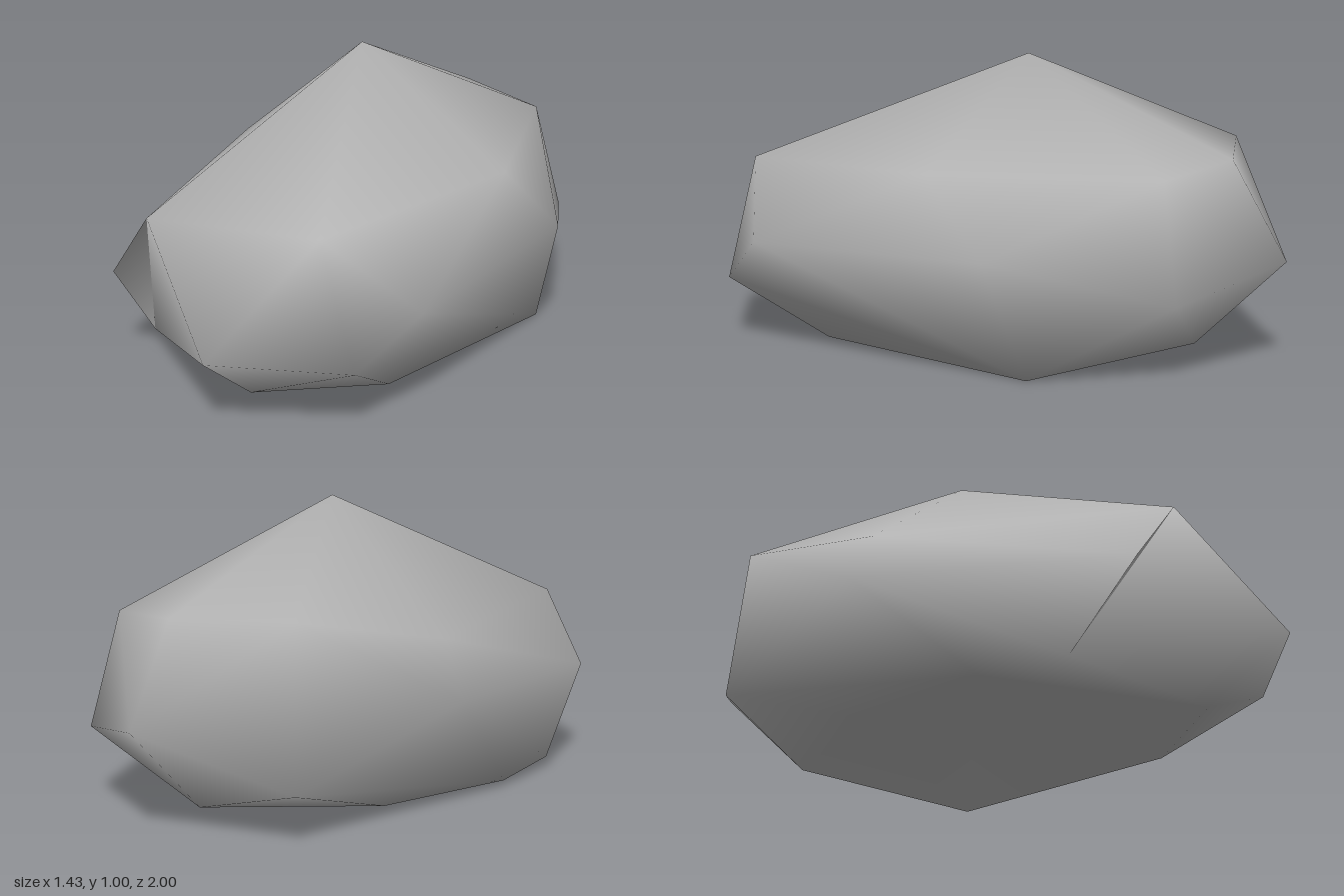
import * as THREE from 'three';
import { ConvexGeometry } from 'three/addons/geometries/ConvexGeometry.js';
import { mergeVertices } from 'three/addons/utils/BufferGeometryUtils.js';

const stone = new THREE.MeshStandardMaterial({ color: 0xb2b2b2 });
stone.name = 'grey stone';

const peak = [[-0.10, 1.0, -0.08]];
// Shoulder corners around the peak
const shoulder = [
  [-0.13, 0.585, 0.865], [0.49, 0.63, 0.68], [0.51, 0.655, -0.15], [0.09, 0.65, -0.80],
  [-0.27, 0.68, -0.82], [-0.635, 0.70, -0.59], [-0.625, 0.58, 0],
];
// Widest corners, starting with the two at the front that frame a shallow dent
const waist = [
  [-0.33, 0.34, 0.86], [0.30, 0.25, 1.0], [0.635, 0.22, 0.67], [0.715, 0.385, 0.45], [0.535, 0.40, -0.41],
  [0.14, 0.26, -0.89], [-0.33, 0.35, -1.0], [-0.68, 0.165, -0.62], [-0.72, 0.39, 0],
];
// Underside corners
const base = [
  [0.21, 0.035, 0.73], [0.465, 0.025, 0.35], [0.39, 0, -0.48],
  [-0.24, 0.04, -0.70], [-0.5, 0.015, -0.15], [-0.5, 0.02, 0.36], [-0.40, 0.04, 0.64],
];

// Swap the diagonal of the two triangles that share edge p-q, so the edge folds inward
function flipEdge(geometry, p, q) {
  const pos = geometry.attributes.position;
  const find = (v) => {
    for (let i = 0; i < pos.count; i++) {
      if (Math.hypot(pos.getX(i) - v[0], pos.getY(i) - v[1], pos.getZ(i) - v[2]) < 1e-3) return i;
    }
    return -1;
  };
  const a = find(p), b = find(q), kept = [];
  let c = -1, d = -1;
  const index = geometry.index.array;
  for (let i = 0; i < index.length; i += 3) {
    const t = [index[i], index[i + 1], index[i + 2]];
    if (t.includes(a) && t.includes(b)) {
      const other = t.find((v) => v !== a && v !== b);
      if (t[(t.indexOf(a) + 1) % 3] === b) c = other;
      else d = other;
    } else kept.push(...t);
  }
  if (c >= 0 && d >= 0) geometry.setIndex([...kept, a, d, c, d, b, c]);
}

export function createModel() {
  const corners = [...peak, ...shoulder, ...waist, ...base].map((p) => new THREE.Vector3(...p));
  const hull = new ConvexGeometry(corners);
  hull.deleteAttribute('normal');
  const geometry = mergeVertices(hull, 1e-4);
  flipEdge(geometry, waist[0], waist[1]);
  // Shared corners give smooth shading over the whole boulder
  geometry.computeVertexNormals();

  const boulder = new THREE.Mesh(geometry, stone);
  boulder.name = 'boulder';
  const group = new THREE.Group();
  group.name = 'rock';
  group.add(boulder);
  return group;
}
